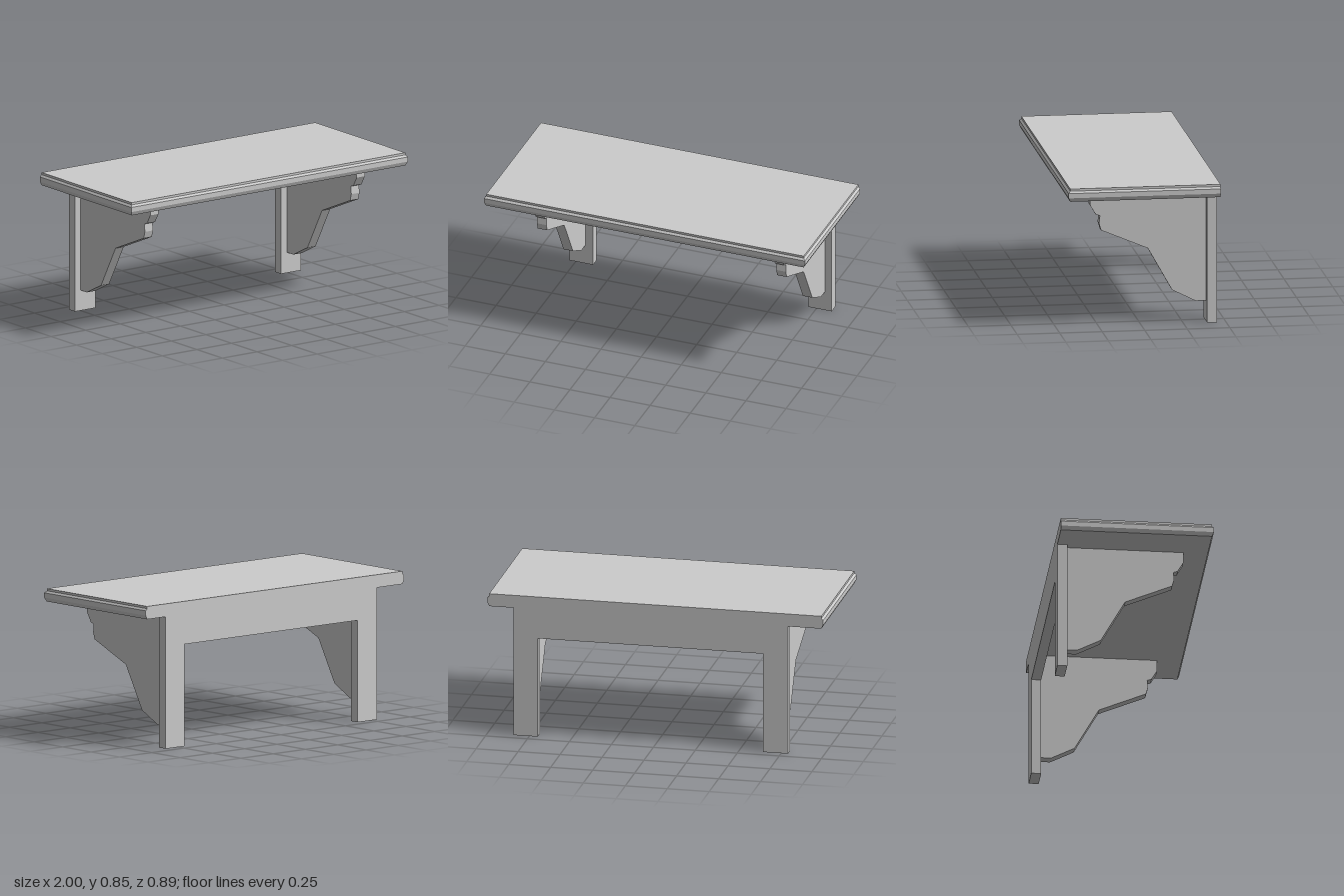
import * as THREE from 'three';

const material = new THREE.MeshStandardMaterial({ color: 0xcccccc, flatShading: true });

// Extrudes a polygon outline along +z by depth
function extrude(points, depth) {
  const shape = new THREE.Shape(points.map(([x, y]) => new THREE.Vector2(x, y)));
  return new THREE.ExtrudeGeometry(shape, { depth, bevelEnabled: false });
}

// Board with a moulded edge on front and sides, flat at the back
function boardGeometry(profile, halfWidth, front, back) {
  const positions = [];
  const index = [];
  for (const [inset, y] of profile) {
    const x = halfWidth - inset;
    const z = front - inset;
    positions.push(-x, y, z, x, y, z, x, y, back, -x, y, back);
  }
  const last = (profile.length - 1) * 4;
  for (let base = 0; base < last; base += 4) {
    for (let i = 0; i < 4; i++) {
      const a = base + i;
      const b = base + (i + 1) % 4;
      index.push(a, b, b + 4, a, b + 4, a + 4);
    }
  }
  index.push(0, 2, 1, 0, 3, 2); // underside
  index.push(last, last + 1, last + 2, last, last + 2, last + 3); // top face
  const geometry = new THREE.BufferGeometry();
  geometry.setAttribute('position', new THREE.Float32BufferAttribute(positions, 3));
  geometry.setIndex(index);
  const flat = geometry.toNonIndexed();
  flat.computeVertexNormals();
  return flat;
}

export function createModel() {
  const group = new THREE.Group();
  const add = (name, geometry) => {
    const mesh = new THREE.Mesh(geometry, material);
    mesh.name = name;
    group.add(mesh);
    return mesh;
  };

  const underside = 0.777;
  const back = -0.447;
  const frameDepth = 0.058;

  // Shelf board: edge profile as [inset, height], bottom to top
  add('shelfBoard', boardGeometry(
    [[0.011, underside], [0, 0.8], [0, 0.828], [0.011, 0.84], [0.011, 0.853]],
    1, 0.447, back,
  ));

  // Back frame: two uprights joined by a rail
  const frame = extrude([
    [-0.79, 0], [-0.642, 0], [-0.642, 0.6], [0.7, 0.6],
    [0.7, 0], [0.845, 0], [0.845, underside], [-0.79, underside],
  ], frameDepth);
  add('backFrame', frame).position.z = back;

  // Side brackets: outline as [z, y]
  const outline = [
    [back + frameDepth, underside], [0.293, underside], [0.293, 0.711], [0.26, 0.656],
    [0.235, 0.647], [0.24, 0.601], [0.228, 0.56], [-0.047, 0.444],
    [-0.189, 0.192], [-0.327, 0.122], [back + frameDepth, 0.122],
  ];
  const bracket = extrude(outline.map(([z, y]) => [-z, y]), 0.059).rotateY(Math.PI / 2);
  add('rightBracket', bracket).position.x = -0.749;
  add('leftBracket', bracket).position.x = 0.743;

  return group;
}
